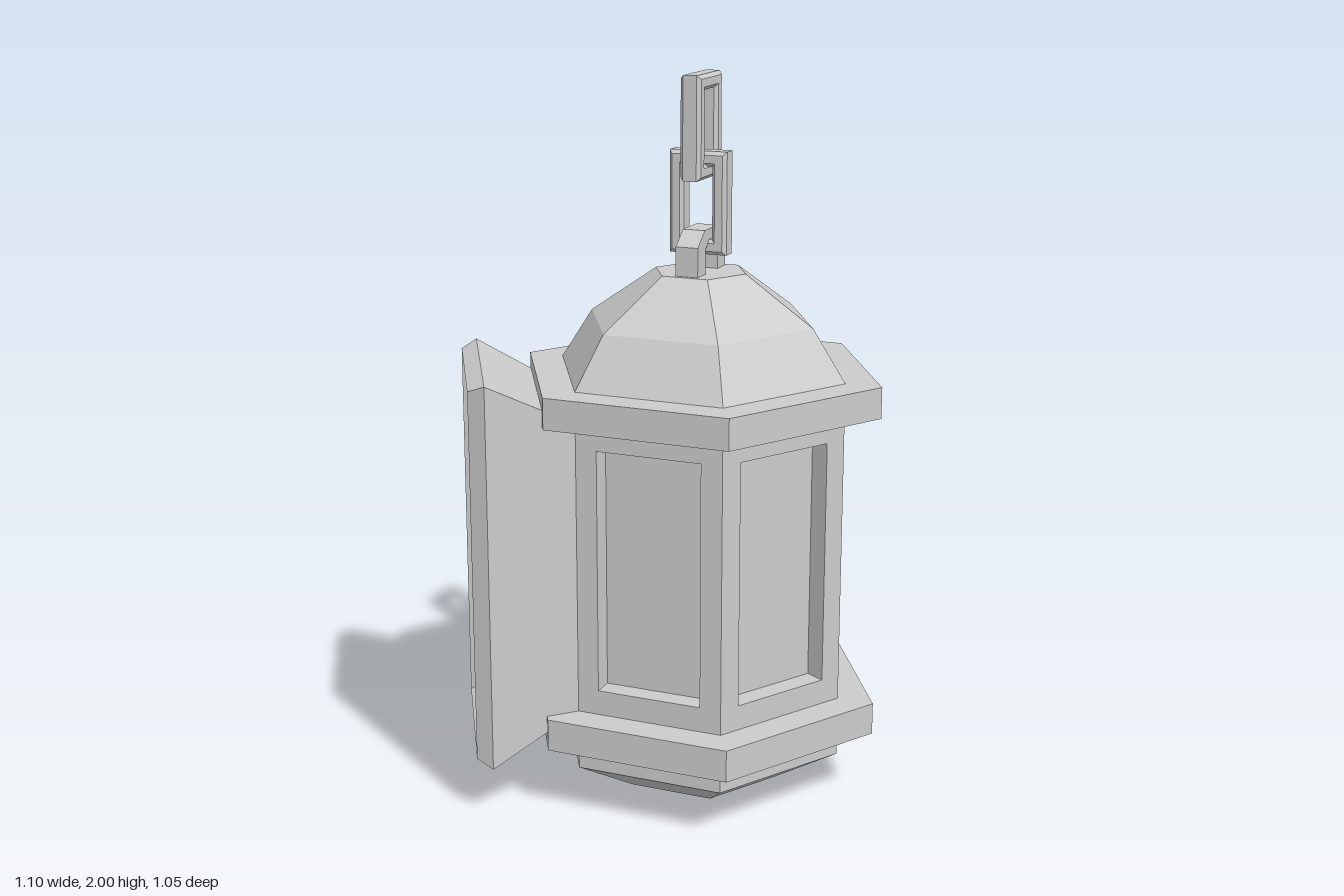
import * as THREE from 'three';

const CX = 0.097;      // axis of the lantern body
const R = 0.422;       // body corner radius
const APOTHEM = R * Math.cos(Math.PI / 6);
const DEPTH = 0.06;    // window recess
const mat = new THREE.MeshStandardMaterial({ color: 0xcccccc, flatShading: true });

function add(parent, name, geometry) {
  const mesh = new THREE.Mesh(geometry, mat);
  mesh.name = name;
  parent.add(mesh);
  return mesh;
}

// Six-sided drum from y0 (radius r0) to y1 (radius r1)
function hexDrum(parent, name, y0, y1, r0, r1 = r0) {
  const geo = new THREE.CylinderGeometry(r1, r0, y1 - y0, 6);
  add(parent, name, geo).position.y = (y0 + y1) / 2;
}

function rect(PathType, x0, y0, x1, y1) {
  const p = new PathType();
  p.moveTo(x0, y0);
  p.lineTo(x1, y0);
  p.lineTo(x1, y1);
  p.lineTo(x0, y1);
  p.closePath();
  return p;
}

// Upright rectangular chain link with chamfered bars
function chainLink(y0, y1) {
  const b = 0.01, w = 0.083, bar = 0.042, t = 0.059;
  const shape = rect(THREE.Shape, -w + b, y0 + b, w - b, y1 - b);
  shape.holes.push(rect(THREE.Path, -w + bar - b, y0 + bar - b, w - bar + b, y1 - bar + b));
  const geo = new THREE.ExtrudeGeometry(shape, {
    depth: t - 2 * b, bevelThickness: b, bevelSize: b, bevelSegments: 1,
  });
  return geo.translate(0, 0, -t / 2 + b);
}

// Flared box: rectangular sections [x, half width, bottom, top] lofted in order
function flare(sections) {
  const loops = sections.map(([x, z, y0, y1]) => [[x, y0, -z], [x, y0, z], [x, y1, z], [x, y1, -z]]);
  const pos = [];
  for (let s = 0; s < loops.length - 1; s++) {
    for (let i = 0; i < 4; i++) {
      const j = (i + 1) % 4;
      const a = loops[s][i], b = loops[s][j], c = loops[s + 1][j], d = loops[s + 1][i];
      pos.push(...a, ...b, ...c, ...a, ...c, ...d);
    }
  }
  const geo = new THREE.BufferGeometry();
  geo.setAttribute('position', new THREE.Float32BufferAttribute(pos, 3));
  geo.computeVertexNormals();
  return geo;
}

export function createModel() {
  const model = new THREE.Group();
  model.name = 'hangingLantern';
  const body = new THREE.Group();
  body.name = 'lanternBody';
  body.position.x = CX;
  model.add(body);

  // Base, rims and domed roof
  hexDrum(body, 'taperedFoot', 0, 0.105, 0.237, R);
  hexDrum(body, 'baseDrum', 0.105, 0.185, R);
  hexDrum(body, 'lowerRim', 0.185, 0.275, 0.525);
  hexDrum(body, 'upperRim', 1.1, 1.187, 0.525);
  hexDrum(body, 'lowerRoof', 1.187, 1.33, R, 0.328);
  hexDrum(body, 'upperRoof', 1.33, 1.465, 0.328, 0.132);

  // Window panes are the faces of an inner core
  hexDrum(body, 'windowPanes', 0.275, 1.1, (APOTHEM - DEPTH) / Math.cos(Math.PI / 6));

  // Window frames on five faces; the -x face carries the flared hood
  const frame = rect(THREE.Shape, -R / 2, 0.275, R / 2, 1.1);
  frame.holes.push(rect(THREE.Path, -0.15, 0.345, 0.15, 1.03));
  const frameGeo = new THREE.ExtrudeGeometry(frame, { depth: DEPTH, bevelEnabled: false });
  frameGeo.translate(0, 0, APOTHEM - DEPTH);
  for (let i = 0; i < 5; i++) {
    add(body, 'windowFrame', frameGeo).rotation.y = -Math.PI / 6 + i * Math.PI / 3;
  }

  // Open hood flaring out of the -x face, with a sloped lip
  add(model, 'flaredHood', flare([
    [CX - APOTHEM, R / 2, 0.275, 1.1],
    [-0.51, 0.283, 0.145, 1.227],
    [-0.553, 0.25, 0.165, 1.207],
    [CX - APOTHEM + DEPTH, 0.15, 0.345, 1.03],
  ]));

  // Arched eyelet on the roof
  const arch = new THREE.Shape();
  [[-0.1, 1.46], [-0.1, 1.545], [-0.05, 1.585], [0.05, 1.585], [0.1, 1.545], [0.1, 1.46],
    [0.045, 1.46], [0.045, 1.53], [0.025, 1.55], [-0.025, 1.55], [-0.045, 1.53], [-0.045, 1.46]]
    .forEach(([x, y], i) => (i ? arch.lineTo(x, y) : arch.moveTo(x, y)));
  const eyelet = new THREE.ExtrudeGeometry(arch, { depth: 0.064, bevelEnabled: false });
  eyelet.translate(0, 0, -0.032);
  add(body, 'roofEyelet', eyelet).rotation.y = Math.PI / 3;

  // Two crossed chain links
  add(body, 'lowerChainLink', chainLink(1.515, 1.795)).rotation.y = -Math.PI / 6;
  add(body, 'upperChainLink', chainLink(1.72, 2)).rotation.y = Math.PI / 3;

  return model;
}
